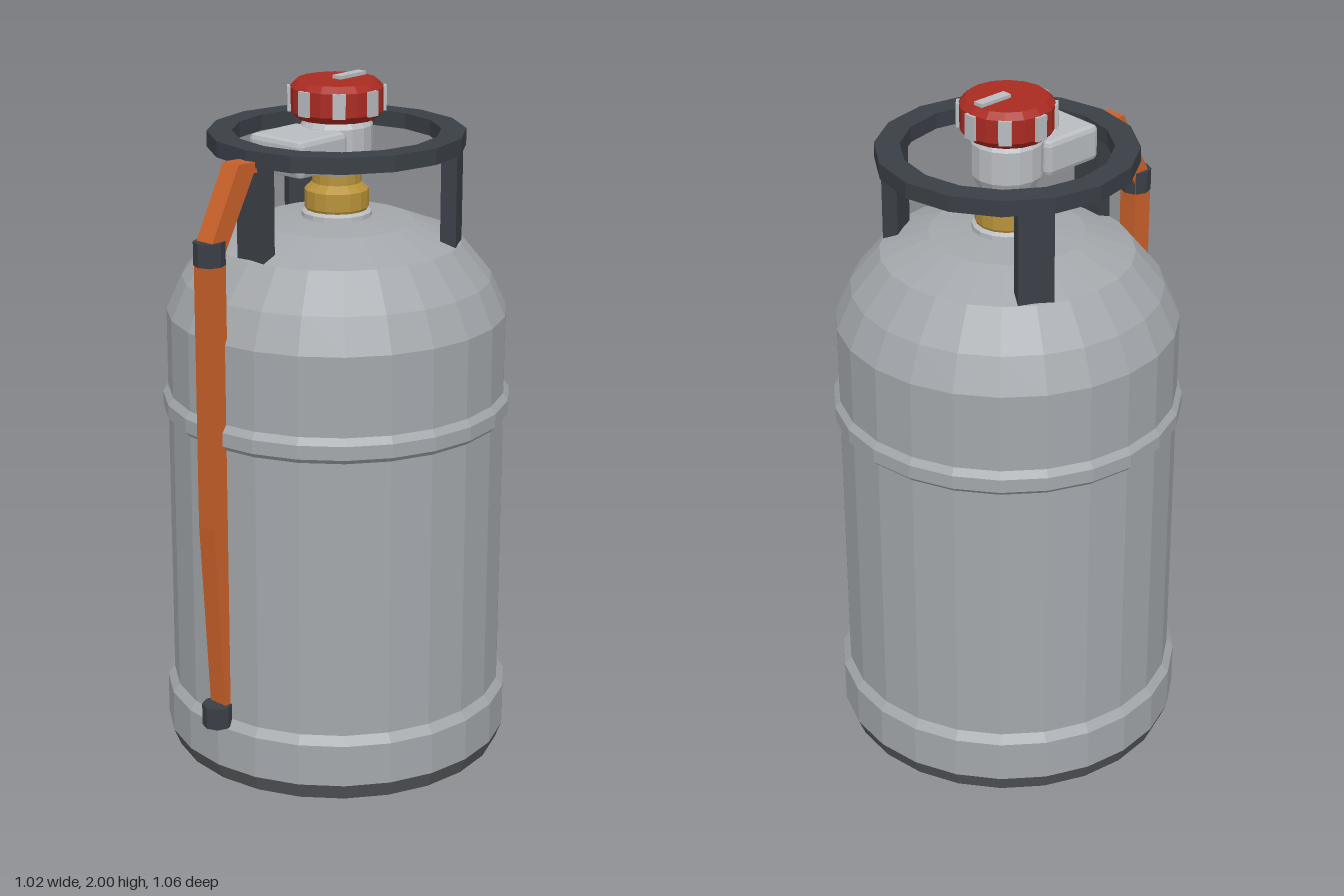
import * as THREE from 'three';
import { RoundedBoxGeometry } from 'three/addons/geometries/RoundedBoxGeometry.js';

const AXIS_Z = -0.02; // centre line of the tank

function material(name, color) {
  const m = new THREE.MeshStandardMaterial({ color, flatShading: true });
  m.name = name;
  return m;
}

export function createModel() {
  const steel = material('grey steel', 0xa3a7ab);
  const darkSteel = material('dark base grey', 0x595b5f);
  const iron = material('charcoal', 0x3a3f46);
  const alloy = material('light alloy', 0xb9bcc0);
  const brass = material('brass', 0xb8923a);
  const red = material('red', 0xa92a21);
  const orange = material('orange rubber', 0xc8602a);

  const model = new THREE.Group();
  model.name = 'gasCylinder';

  function add(name, geometry, mat, x = 0, y = 0, z = 0, parent = model) {
    const mesh = new THREE.Mesh(geometry, mat);
    mesh.name = name;
    mesh.position.set(x, y, z);
    parent.add(mesh);
    return mesh;
  }
  // Turned part from [radius, height] pairs, listed from bottom to top
  function turned(name, profile, sides, mat) {
    const points = profile.map(([r, y]) => new THREE.Vector2(r, y));
    return add(name, new THREE.LatheGeometry(points, sides), mat, 0, 0, AXIS_Z);
  }

  // Tank: base, foot collar, body with rolled bead, domed shoulder
  turned('base', [[0, 0], [0.49, 0], [0.51, 0.05]], 24, darkSteel);
  turned('tank', [
    [0.51, 0.05], [0.51, 0.175], [0.49, 0.2],
    [0.49, 1.025], [0.505, 1.04], [0.505, 1.08], [0.49, 1.1],
    [0.49, 1.33], [0.445, 1.43], [0.36, 1.535], [0.22, 1.59], [0, 1.61],
  ], 24, steel);

  // Valve stack
  turned('neckCollar', [[0.1, 1.59], [0.1, 1.615], [0.085, 1.625], [0, 1.625]], 16, alloy);
  turned('brassValve', [[0.085, 1.615], [0.092, 1.63], [0.092, 1.68], [0.07, 1.7], [0.07, 1.75]], 16, brass);
  turned('regulatorBody', [
    [0, 1.73], [0.082, 1.73], [0.102, 1.77], [0.102, 1.865], [0.085, 1.89], [0, 1.89],
  ], 16, alloy);
  add('regulatorOutlet', new RoundedBoxGeometry(0.2, 0.105, 0.195, 1, 0.016), alloy, 0, 1.812, 0.138);

  // Hand knob with grip ribs and pointer
  turned('knob', [
    [0, 1.885], [0.115, 1.885], [0.133, 1.905], [0.133, 1.972], [0.115, 1.99], [0, 1.99],
  ], 16, red);
  const grips = new THREE.Group();
  grips.name = 'knobGrips';
  grips.position.z = AXIS_Z;
  model.add(grips);
  for (let i = 0; i < 8; i++) {
    const a = (i * Math.PI) / 4;
    const rib = add('gripRib', new THREE.BoxGeometry(0.036, 0.07, 0.02), alloy,
      Math.sin(a) * 0.129, 1.938, Math.cos(a) * 0.129, grips);
    rib.rotation.y = a;
  }
  add('knobPointer', new THREE.BoxGeometry(0.03, 0.012, 0.107), alloy, 0, 1.994, -0.073);

  // Carrying ring on three legs
  turned('carryRing', [
    [0.295, 1.802], [0.366, 1.802], [0.366, 1.848], [0.295, 1.848], [0.295, 1.802],
  ], 16, iron);
  for (let i = 0; i < 3; i++) {
    const a = (i * Math.PI * 2) / 3;
    const leg = add('ringLeg', new THREE.BoxGeometry(0.1, 0.275, 0.045), iron,
      Math.sin(a) * 0.33, 1.6725, AXIS_Z + Math.cos(a) * 0.33);
    leg.rotation.y = a;
  }

  // Hose: side outline as [z, y], extruded across its width
  const outline = [
    [0.2, 1.775], [0.345, 1.79], [0.458, 1.59], [0.458, 0.8], [0.425, 0.22],
    [0.485, 0.22], [0.52, 0.8], [0.52, 1.6], [0.403, 1.822], [0.2, 1.812],
  ];
  const hoseShape = new THREE.Shape(outline.map(([z, y]) => new THREE.Vector2(z, y)));
  const hose = new THREE.ExtrudeGeometry(hoseShape, { depth: 0.06, bevelEnabled: false });
  hose.translate(0, 0, -0.03).rotateY(-Math.PI / 2);
  add('hose', hose, orange);

  // Hose clamps
  for (const y of [1.59, 0.215]) {
    add('hoseClamp', new THREE.CylinderGeometry(0.044, 0.044, 0.066, 8), iron, 0, y, 0.49);
  }

  return model;
}
